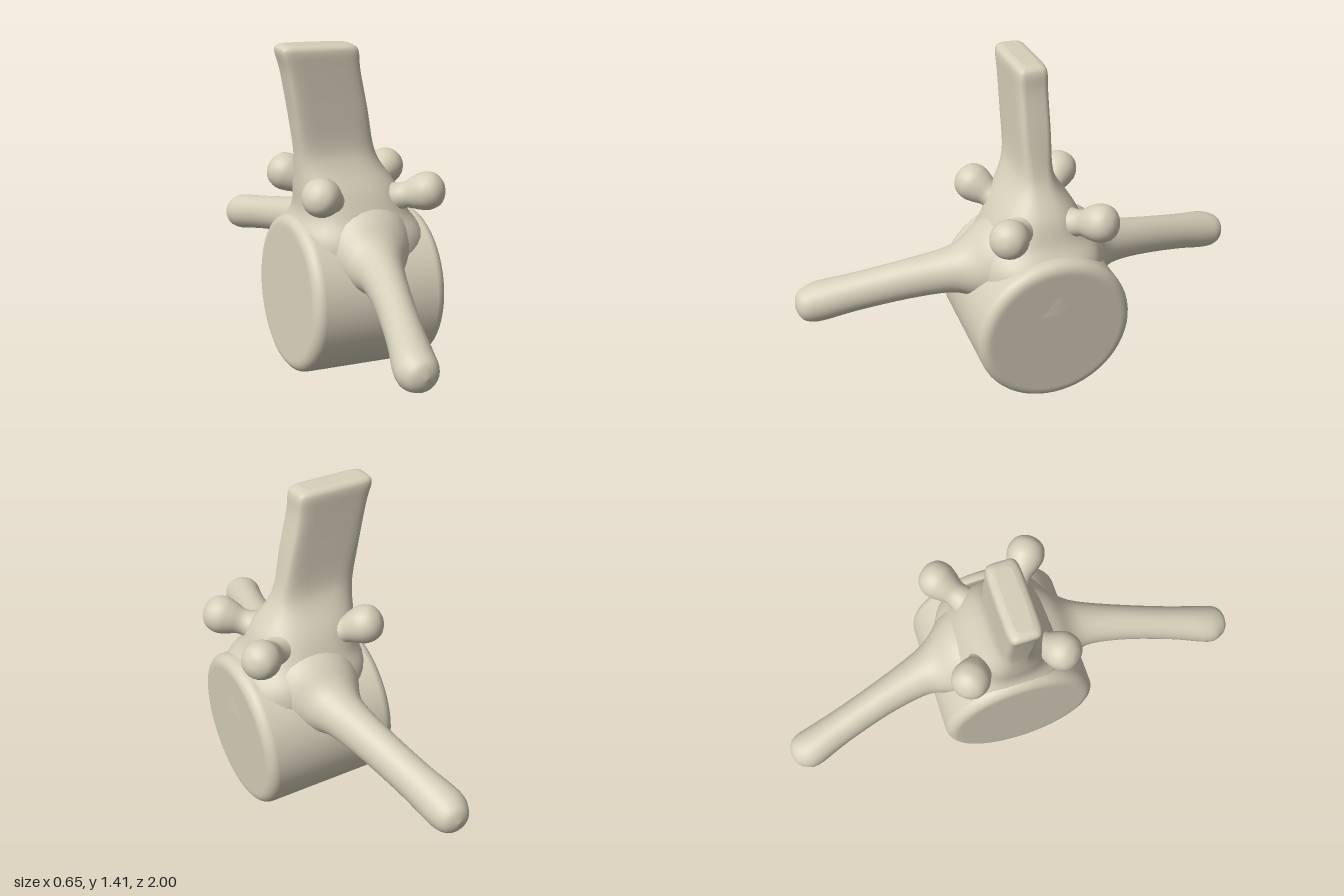
import * as THREE from 'three';

// Smooth skin over superellipse rings [t, cu, cv, ru, rv, power]; place maps (u, v, t) to a point.
function loft(keys, place, steps, flip = 1, n = 40) {
  const rings = [];
  for (let i = 0; i < keys.length - 1; i++) {
    const at = (j) => keys[Math.min(Math.max(j, 0), keys.length - 1)];
    for (let k = 0; k < steps; k++) {
      const f = k / steps;
      rings.push(keys[i].map((_, c) => {
        const a = at(i)[c], b = at(i + 1)[c], m0 = (b - at(i - 1)[c]) / 2, m1 = (at(i + 2)[c] - a) / 2;
        return a + m0 * f + (3 * (b - a) - 2 * m0 - m1) * f * f + (2 * (a - b) + m0 + m1) * f * f * f;
      }));
    }
  }
  rings.push(keys[keys.length - 1]);
  const pos = [], idx = [];
  for (const [t, cu, cv, ru, rv, p] of rings) {
    for (let j = 0; j < n; j++) {
      const a = flip * j / n * Math.PI * 2, c = Math.cos(a), s = Math.sin(a);
      const u = cu + Math.max(ru, 0) * Math.sign(c) * Math.abs(c) ** (2 / p);
      const v = cv + Math.max(rv, 0) * Math.sign(s) * Math.abs(s) ** (2 / p);
      pos.push(...place(u, v, t));
    }
  }
  for (let i = 0; i < rings.length - 1; i++) {
    for (let j = 0; j < n; j++) {
      const a = i * n + j, b = i * n + (j + 1) % n;
      idx.push(a, b, b + n, a, b + n, a + n);
    }
  }
  // Cap the far end
  const last = (rings.length - 1) * n;
  for (let j = 1; j < n - 1; j++) idx.push(last, last + j, last + j + 1);
  const g = new THREE.BufferGeometry();
  g.setAttribute('position', new THREE.Float32BufferAttribute(pos, 3));
  g.setIndex(idx);
  g.computeVertexNormals();
  return g;
}

export function createModel() {
  const group = new THREE.Group();
  const bone = new THREE.MeshStandardMaterial({ color: 0xd6cfba });
  bone.name = 'bone';
  const add = (name, geometry) => {
    const mesh = new THREE.Mesh(geometry, bone);
    mesh.name = name;
    group.add(mesh);
    return mesh;
  };

  // Drum-shaped body with rounded rims, lying along x and tipped slightly
  const R = 0.335, H = 0.294, B = 0.045;
  const profile = [[0, -H], [R - B - 0.01, -H]];
  for (let i = 0; i <= 6; i++) {
    const a = -Math.PI / 2 + i / 6 * Math.PI / 2;
    profile.push([R - B + B * Math.cos(a), -H + B + B * Math.sin(a)]);
  }
  const mirrored = profile.slice().reverse().map(([r, y]) => [r, -y]);
  const drum = new THREE.LatheGeometry([...profile, ...mirrored].map(([r, y]) => new THREE.Vector2(r, y)), 56);
  const body = add('body', drum);
  body.rotation.z = -Math.PI / 2 - 0.055;
  body.position.set(-0.012, 0.35, 0);

  // Arch rising out of the body and narrowing into the flat spine
  add('archAndSpine', loft([
    [0.45, 0.0, 0.0, 0.29, 0.27, 2.6],
    [0.62, 0.0, 0.0, 0.285, 0.265, 2.6],
    [0.72, 0.0, -0.015, 0.235, 0.215, 2.5],
    [0.82, 0.0, -0.035, 0.215, 0.165, 2.5],
    [0.92, 0.0, -0.07, 0.18, 0.10, 2.8],
    [1.0, 0.0, -0.088, 0.165, 0.072, 4],
    [1.15, 0.0, -0.112, 0.16, 0.067, 6],
    [1.3, 0.0, -0.14, 0.158, 0.067, 6],
    [1.375, 0.0, -0.154, 0.165, 0.067, 6],
    [1.4, 0.0, -0.158, 0.155, 0.057, 6],
    [1.409, 0.0, -0.16, 0.13, 0.035, 5],
  ].map(([t, cu, cv, rx, rz, p]) => [t, cu, cv, rz, rx, p]),
  (z, x, y) => [x, y - 0.045 * (x + 0.16), z], 5));

  // Long side arms, one to the front and one to the back
  for (const s of [1, -1]) {
    add(s > 0 ? 'frontArm' : 'backArm', loft([
      [0.1, 0.0, 0.6, 0.22, 0.2, 2],
      [0.22, -0.01, 0.58, 0.175, 0.16, 2],
      [0.3, -0.025, 0.55, 0.125, 0.12, 2],
      [0.38, -0.04, 0.54, 0.095, 0.095, 2],
      [0.55, -0.08, 0.508, 0.078, 0.085, 2],
      [0.75, -0.132, 0.462, 0.076, 0.082, 2],
      [0.9, -0.172, 0.425, 0.084, 0.085, 2],
      [0.96, -0.174, 0.418, 0.07, 0.07, 2],
      [0.988, -0.174, 0.42, 0.045, 0.045, 2],
      [1.0, -0.174, 0.42, 0.005, 0.005, 2],
    ], (x, y, z) => [x, y, s * z], 4, s, 28));
  }

  // Four rounded knobs on flared stubs around the arch
  const knobCurve = new THREE.SplineCurve([
    [0.12, 0], [0.072, 0.06], [0.054, 0.12], [0.07, 0.17], [0.08, 0.215], [0.066, 0.262], [0.03, 0.287], [0, 0.291],
  ].map(([r, y]) => new THREE.Vector2(r, y)));
  const knobPoints = knobCurve.getPoints(24);
  knobPoints.forEach((p) => { p.x = Math.max(p.x, 0); });
  const knob = new THREE.LatheGeometry(knobPoints, 24);
  const up = new THREE.Vector3(0, 1, 0);
  for (const s of [1, -1]) {
    for (const [side, x, y, root] of [['left', 0.245, 0.8, 0.07], ['right', -0.22, 0.835, -0.07]]) {
      const tip = new THREE.Vector3(x, y, s * 0.193);
      const dir = tip.clone().sub(new THREE.Vector3(root, 0.74, s * 0.06)).normalize();
      const mesh = add(`${side}${s > 0 ? 'Front' : 'Back'}Knob`, knob);
      mesh.quaternion.setFromUnitVectors(up, dir);
      mesh.position.copy(tip).addScaledVector(dir, -0.213);
    }
  }
  return group;
}
